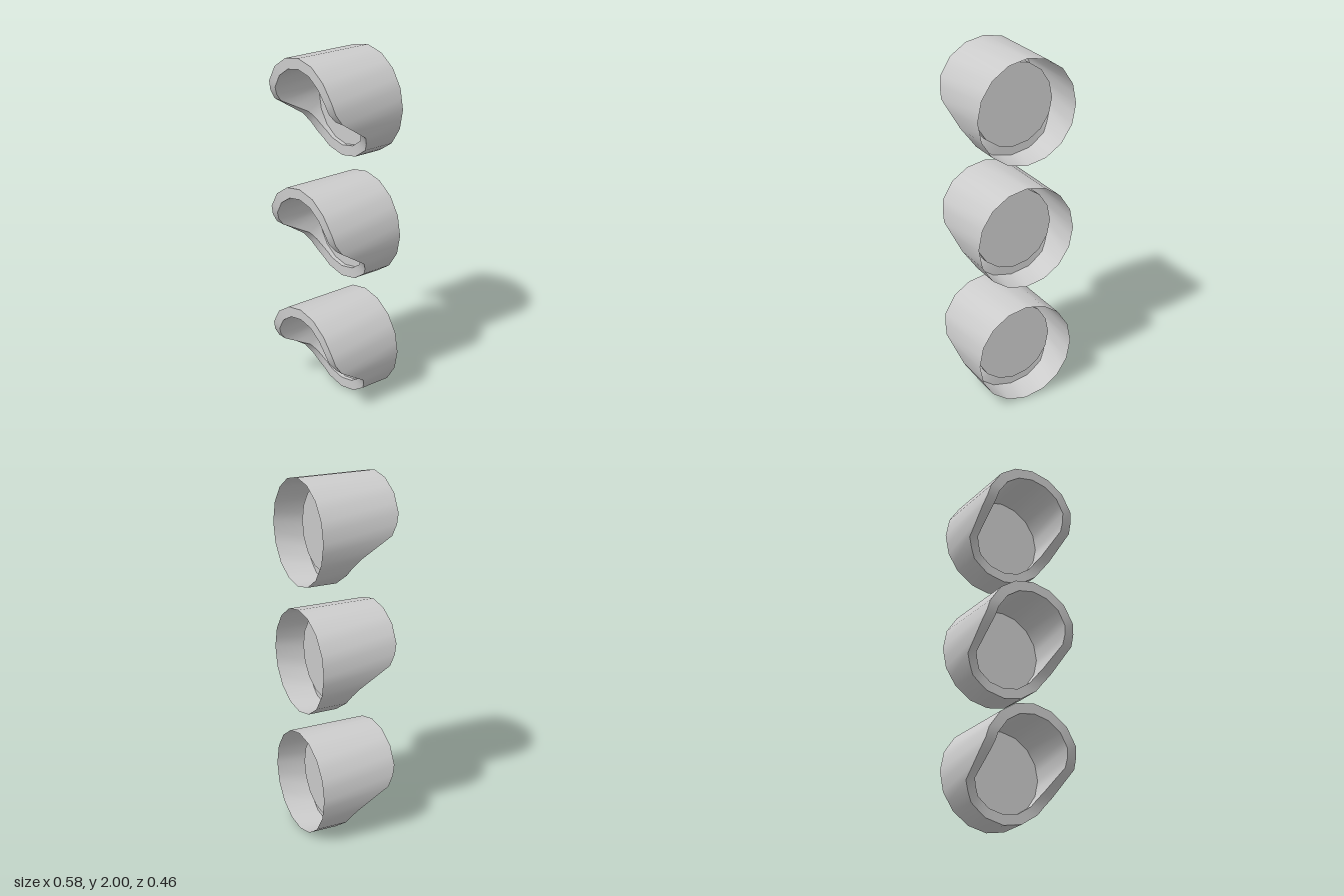
import * as THREE from 'three';

const OUTER = 0.29, INNER = 0.232, BACK = -0.23, LENS_Z = -0.085;
const SIDES = 16, STEPS = SIDES * 2;

// Front edge depth, from the top of the hood down one side to the bottom
const EDGE = [0.228, 0.228, 0.228, 0.228, 0.228, 0.224, 0.22, 0.205, 0.17,
  0.085, 0, -0.03, -0.05, -0.057, -0.06, -0.06, -0.06];
const edgeZ = (i) => EDGE[i <= SIDES ? i : STEPS - i];

// Loop around a 16-sided tube, with an extra point halfway along each side
function loop(radius, zAt) {
  const flat = Math.cos(Math.PI / SIDES);
  return Array.from({ length: STEPS }, (_, i) => {
    const a = (i / STEPS) * Math.PI * 2;
    const r = i % 2 ? radius * flat : radius;
    return [Math.sin(a) * r, Math.cos(a) * r, zAt(i)];
  });
}

// Closed band of faces between two loops
function band(a, b) {
  const index = [];
  for (let i = 0; i < STEPS; i++) {
    const j = (i + 1) % STEPS;
    index.push(i, STEPS + i, j, j, STEPS + i, STEPS + j);
  }
  const geometry = new THREE.BufferGeometry();
  geometry.setAttribute('position', new THREE.Float32BufferAttribute([...a, ...b].flat(), 3));
  geometry.setIndex(index);
  geometry.computeVertexNormals();
  return geometry;
}

export function createModel() {
  const model = new THREE.Group();
  model.name = 'signalVisors';
  const material = new THREE.MeshStandardMaterial({ color: 0xcccccc, side: THREE.DoubleSide });

  const outerBack = loop(OUTER, () => BACK);
  const outerFront = loop(OUTER, edgeZ);
  const innerFront = loop(INNER, edgeZ);
  const innerBack = loop(INNER, () => LENS_Z);

  // Hood walls, front rim and recessed lens; the back stays open
  const lens = new THREE.CircleGeometry(INNER, SIDES);
  lens.translate(0, 0, LENS_Z);
  const parts = {
    hoodOuterWall: band(outerFront, outerBack),
    hoodRim: band(innerFront, outerFront),
    hoodInnerWall: band(innerBack, innerFront),
    lens,
  };

  // Three identical lamps stacked vertically
  ['lowerLamp', 'middleLamp', 'upperLamp'].forEach((name, i) => {
    const lamp = new THREE.Group();
    lamp.name = name;
    lamp.position.y = OUTER + i * 0.71;
    for (const [part, geometry] of Object.entries(parts)) {
      const mesh = new THREE.Mesh(geometry, material);
      mesh.name = part;
      lamp.add(mesh);
    }
    model.add(lamp);
  });
  return model;
}
